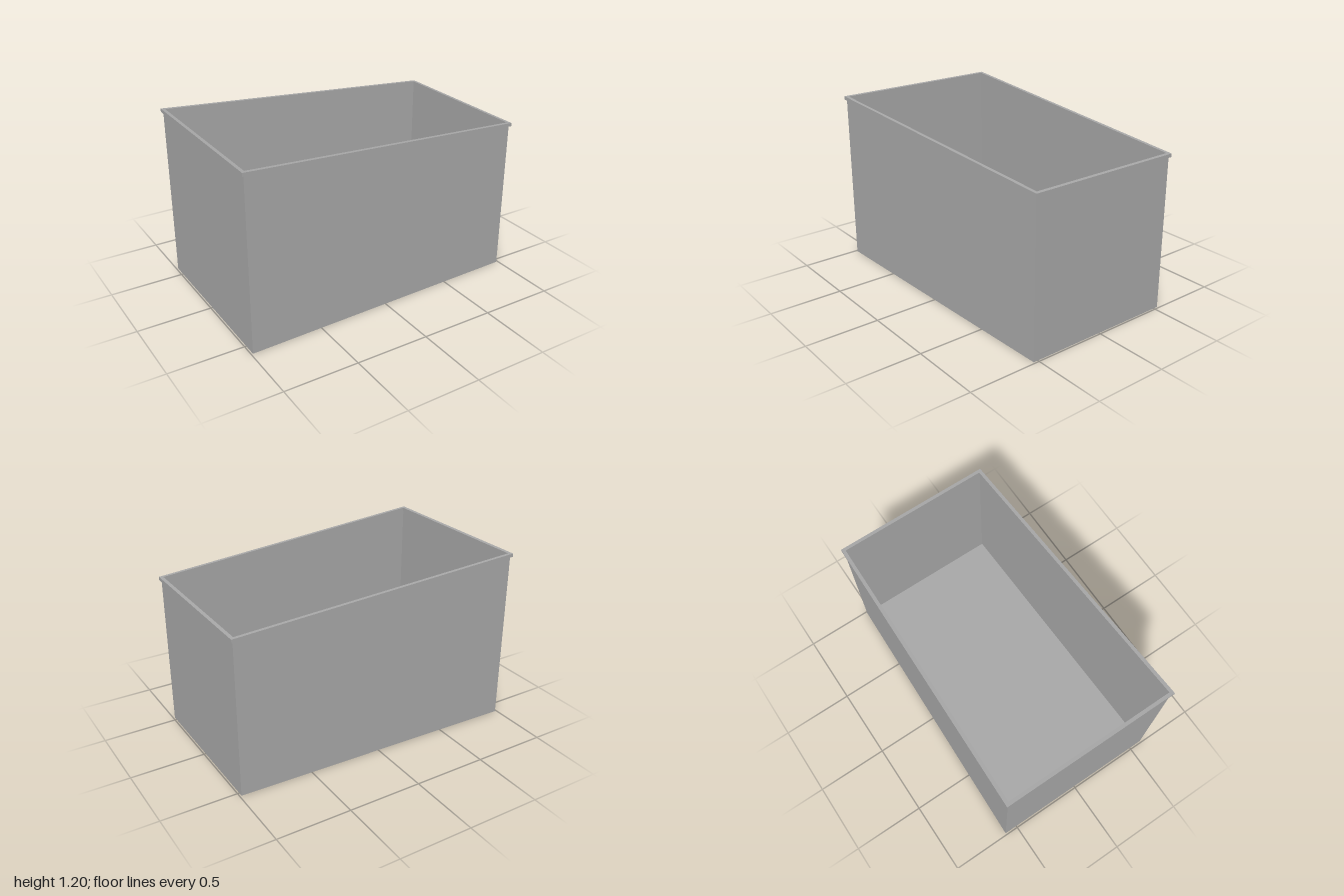
import * as THREE from 'three';

// Height of the sloping top edge and half depth of the tapered plan at x
const topY = (x) => 1.131 - 0.066 * x;
const halfDepth = (x) => 0.573 - 0.03 * x;

// Four plan corners, counter-clockwise from above, moved inwards by inset
function ring(inset, height) {
  return [[-1, 1], [1, 1], [1, -1], [-1, -1]].map(([sx, sz]) => {
    const x = sx * (1 - inset);
    return new THREE.Vector3(x, height(x), sz * (halfDepth(x) - inset));
  });
}

// Flat quads joining successive rings
function loft(rings) {
  const points = [];
  for (let r = 0; r < rings.length - 1; r++) {
    const a = rings[r], b = rings[r + 1];
    for (let i = 0; i < 4; i++) {
      const j = (i + 1) % 4;
      points.push(a[i], a[j], b[j], a[i], b[j], b[i]);
    }
  }
  return surface(points);
}

function surface(points) {
  const geometry = new THREE.BufferGeometry().setFromPoints(points);
  geometry.computeVertexNormals();
  return geometry;
}

export function createModel() {
  const group = new THREE.Group();
  group.name = 'openBin';
  const grey = new THREE.MeshStandardMaterial({ color: 0xa6a6a6, side: THREE.DoubleSide });
  grey.name = 'grey';

  const add = (name, geometry) => {
    const mesh = new THREE.Mesh(geometry, grey);
    mesh.name = name;
    group.add(mesh);
  };

  const wallInset = 0.012, rimWidth = 0.023, rimHeight = 0.023;
  const floor = ring(wallInset, () => 0);
  const rimBottom = (x) => topY(x) - rimHeight;

  // Thin sheet walls, ending under the rim
  add('walls', loft([floor, ring(wallInset, rimBottom)]));

  // Floor, facing down
  add('floor', surface([floor[0], floor[2], floor[1], floor[0], floor[3], floor[2]]));

  // Square-section rim following the sloping edge
  add('rim', loft([
    ring(0, rimBottom), ring(0, topY), ring(rimWidth, topY),
    ring(rimWidth, rimBottom), ring(0, rimBottom),
  ]));

  return group;
}
